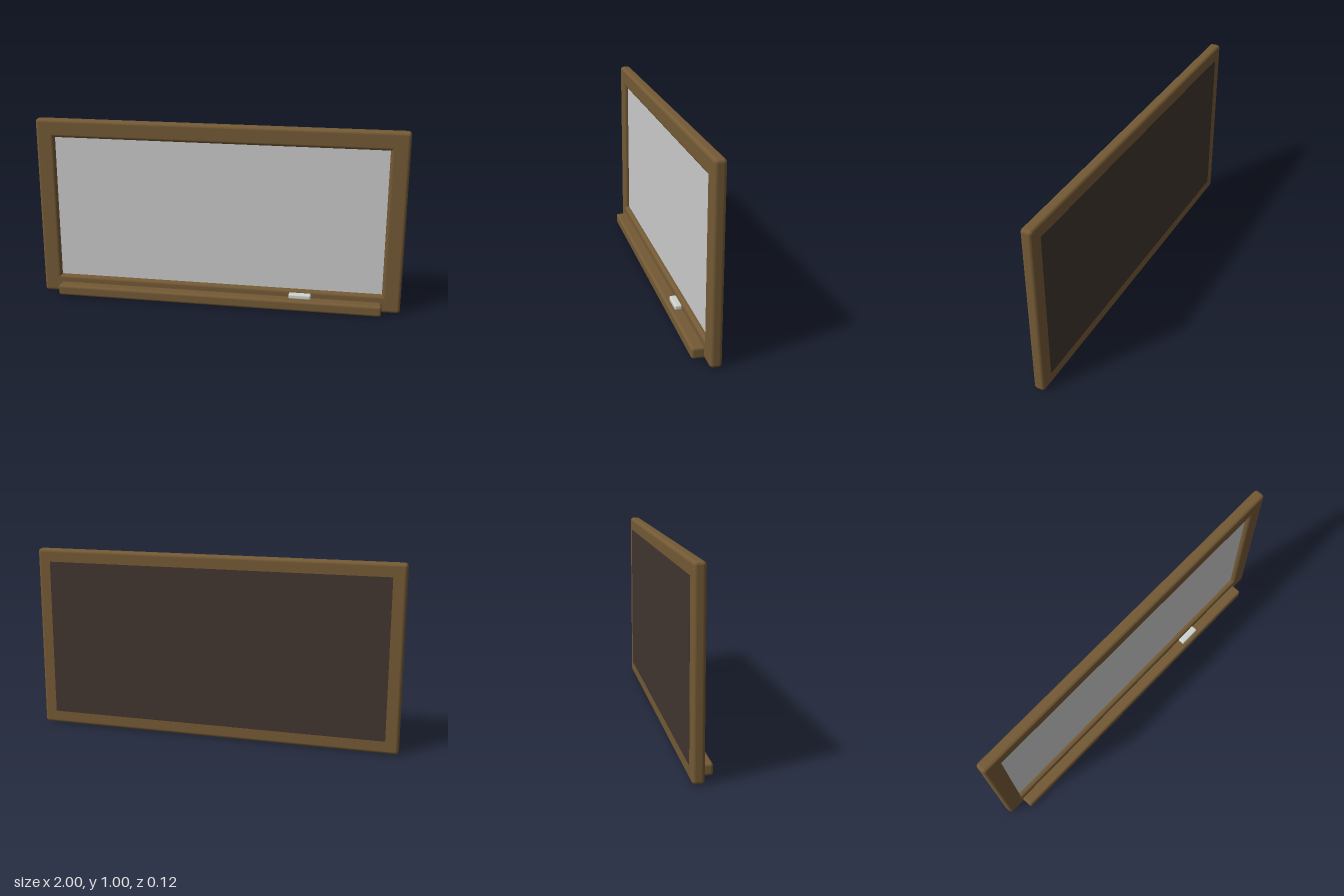
import * as THREE from 'three';
import { RoundedBoxGeometry } from 'three/addons/geometries/RoundedBoxGeometry.js';

export function createModel() {
  const model = new THREE.Group();
  model.name = 'wallBoard';

  const wood = new THREE.MeshStandardMaterial({ color: 0x745a35 });
  const grey = new THREE.MeshStandardMaterial({ color: 0xcccccc });
  const dark = new THREE.MeshStandardMaterial({ color: 0x41362f });
  const felt = new THREE.MeshStandardMaterial({ color: 0xd0d2cc });

  // Box given by its lower and upper corners, rounded when a radius is set
  function block(name, min, max, radius, material) {
    const size = max.map((v, i) => v - min[i]);
    const geometry = radius
      ? new RoundedBoxGeometry(...size, 4, radius)
      : new THREE.BoxGeometry(...size);
    const mesh = new THREE.Mesh(geometry, material);
    mesh.name = name;
    mesh.position.set(...max.map((v, i) => (v + min[i]) / 2));
    model.add(mesh);
  }

  // Frame: two uprights and two rails
  const front = 0, back = -0.06, r = 0.018;
  block('leftUpright', [0.9, 0, back], [1, 1, front], r, wood);
  block('rightUpright', [-1, 0, back], [-0.9, 1, front], r, wood);
  block('topRail', [-1, 0.9, back], [1, 1, front], r, wood);
  block('bottomRail', [-1, 0, back], [1, 0.1, front], r, wood);

  // Writing surface, set back in the frame, and the backing behind it
  block('writingSurface', [-0.92, 0.08, -0.045], [0.92, 0.92, -0.025], 0, grey);
  block('backing', [-0.93, 0.07, -0.061], [0.93, 0.93, -0.045], 0, dark);

  // Ledge along the bottom with an eraser on it
  block('tray', [-0.9, 0, -0.03], [0.9, 0.06, 0.06], 0.014, wood);
  block('eraser', [0.4, 0.063, 0.002], [0.52, 0.09, 0.04], 0.008, felt);

  return model;
}
